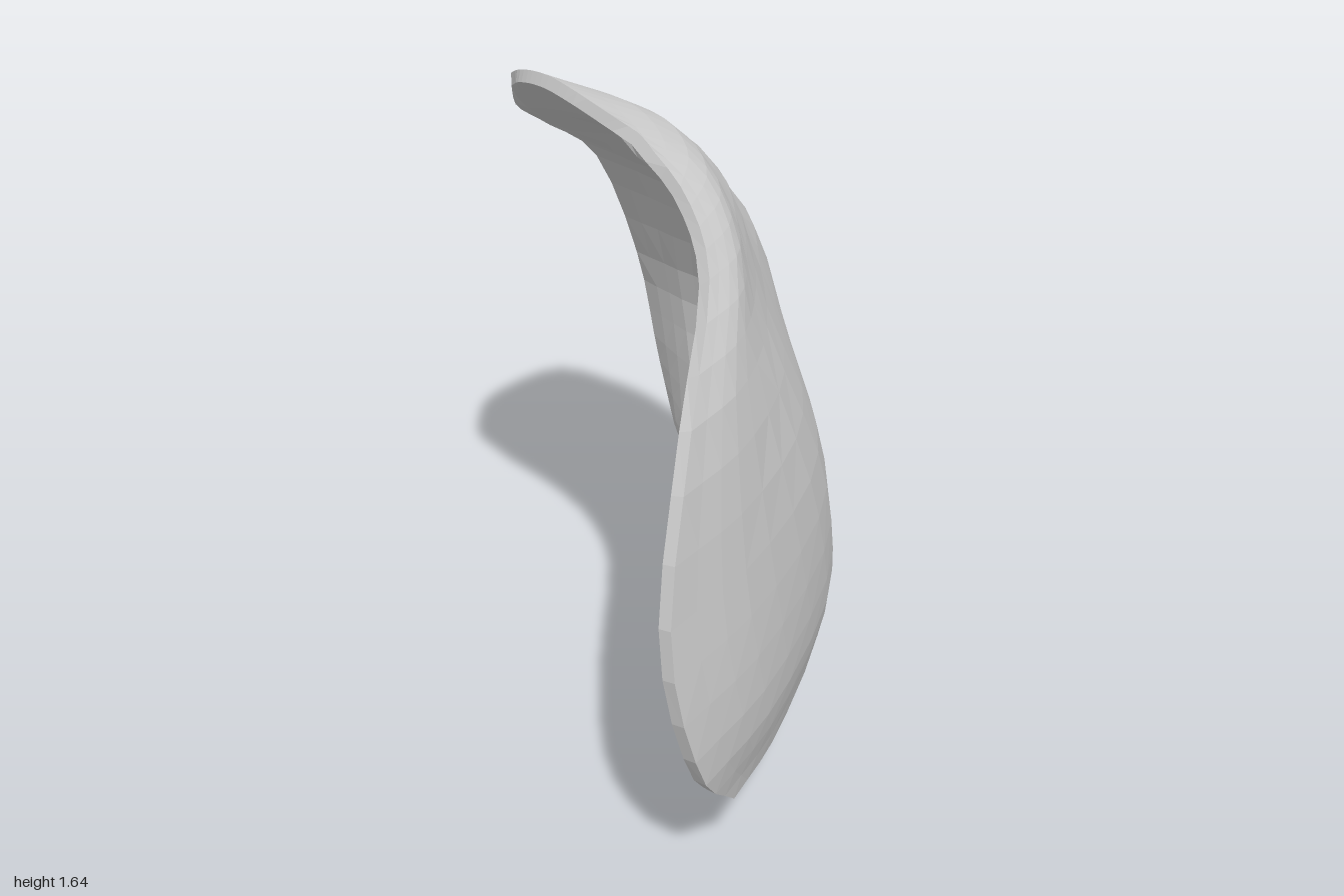
import * as THREE from 'three';

// Control net of the outer skin: rows run top to bottom,
// each row runs from the front edge round the +x wall to the back edge.
const NET = [
  [[.1, 1.57, .33], [0, 1.6, .3], [-.1, 1.63, .27], [-.18, 1.64, .23], [-.25, 1.635, .19], [-.31, 1.62, .15], [-.36, 1.595, .1]],
  [[.25, 1.48, .41], [.2, 1.5, .25], [.08, 1.52, .1], [-.08, 1.53, .01], [-.24, 1.53, -.04], [-.4, 1.51, -.09], [-.51, 1.455, -.17]],
  [[.36, 1.37, .52], [.35, 1.37, .36], [.25, 1.37, .16], [.06, 1.37, -.14], [-.18, 1.37, -.33], [-.4, 1.36, -.37], [-.56, 1.34, -.41]],
  [[.47, 1.15, .83], [.48, 1.15, .62], [.41, 1.15, .32], [.24, 1.15, -.04], [0, 1.15, -.46], [-.31, 1.15, -.67], [-.57, 1.15, -.73]],
  [[.51, .75, 1], [.55, .75, .68], [.5, .75, .18], [.27, .75, -.27], [-.08, .74, -.75], [-.33, .73, -.9], [-.55, .72, -.98]],
  [[.55, .4, .93], [.57, .4, .6], [.49, .4, .04], [.27, .35, -.37], [.03, .38, -.68], [-.25, .38, -.84], [-.49, .4, -1]],
  [[.53, .195, .72], [.51, .17, .43], [.43, .2, -.06], [.22, .11, -.43], [0, 0, -.53], [-.22, .06, -.76], [-.4, .19, -.94]],
];
const COLS = 20, ROWS = 20, W = COLS + 1;

const spline = (pts) => new THREE.CatmullRomCurve3(pts);

// Smooth grid of points through the control net
function skinPoints() {
  const rowCurves = NET.map((row) => spline(row.map((p) => new THREE.Vector3(...p))));
  const grid = [];
  for (let j = 0; j <= COLS; j++) {
    const column = spline(rowCurves.map((c) => c.getPoint(j / COLS)));
    for (let i = 0; i <= ROWS; i++) grid[i * W + j] = column.getPoint(i / ROWS);
  }
  return grid;
}

function makeGeometry(points, index) {
  const g = new THREE.BufferGeometry().setFromPoints(points);
  g.setIndex(index);
  g.computeVertexNormals();
  return g;
}

export function createModel() {
  const group = new THREE.Group();
  group.name = 'curvedShell';
  const grey = new THREE.MeshStandardMaterial({ color: 0xcecece, flatShading: true });
  grey.name = 'light grey';
  const add = (name, geometry) => {
    const mesh = new THREE.Mesh(geometry, grey);
    mesh.name = name;
    group.add(mesh);
  };

  // Outer convex skin, each cell split along its shorter diagonal
  const outer = skinPoints();
  const faces = [];
  for (let i = 0; i < ROWS; i++) {
    for (let j = 0; j < COLS; j++) {
      const a = i * W + j, b = a + 1, c = a + W, d = c + 1;
      if (outer[b].distanceTo(outer[c]) < outer[a].distanceTo(outer[d])) faces.push(a, c, b, b, c, d);
      else faces.push(a, c, d, a, d, b);
    }
  }
  const outerGeometry = makeGeometry(outer, faces);
  add('outerSkin', outerGeometry);

  // Inner hollow skin: offset inwards, thinner towards the rim
  const normals = outerGeometry.attributes.normal;
  const inner = outer.map((p, k) => {
    const i = Math.floor(k / W), j = k % W;
    const edge = Math.min(i, j, ROWS - i, COLS - j);
    const thickness = 0.03 + 0.03 * Math.min(1, edge / 3);
    // Rim points borrow the direction of their inward neighbour
    const source = THREE.MathUtils.clamp(i, 1, ROWS - 1) * W + THREE.MathUtils.clamp(j, 1, COLS - 1);
    return p.clone().addScaledVector(new THREE.Vector3().fromBufferAttribute(normals, source), -thickness);
  });
  const flipped = [];
  for (let k = 0; k < faces.length; k += 3) flipped.push(faces[k], faces[k + 2], faces[k + 1]);
  add('innerSkin', makeGeometry(inner, flipped));

  // Rim band joining both skins around the open edge
  const loop = [];
  for (let j = 0; j < COLS; j++) loop.push(j);
  for (let i = 0; i < ROWS; i++) loop.push(i * W + COLS);
  for (let j = COLS; j > 0; j--) loop.push(ROWS * W + j);
  for (let i = ROWS; i > 0; i--) loop.push(i * W);
  const n = loop.length, rimFaces = [];
  for (let k = 0; k < n; k++) {
    const next = (k + 1) % n;
    rimFaces.push(k, next, n + next, k, n + next, n + k);
  }
  add('rim', makeGeometry([...loop.map((k) => outer[k]), ...loop.map((k) => inner[k])], rimFaces));

  return group;
}
